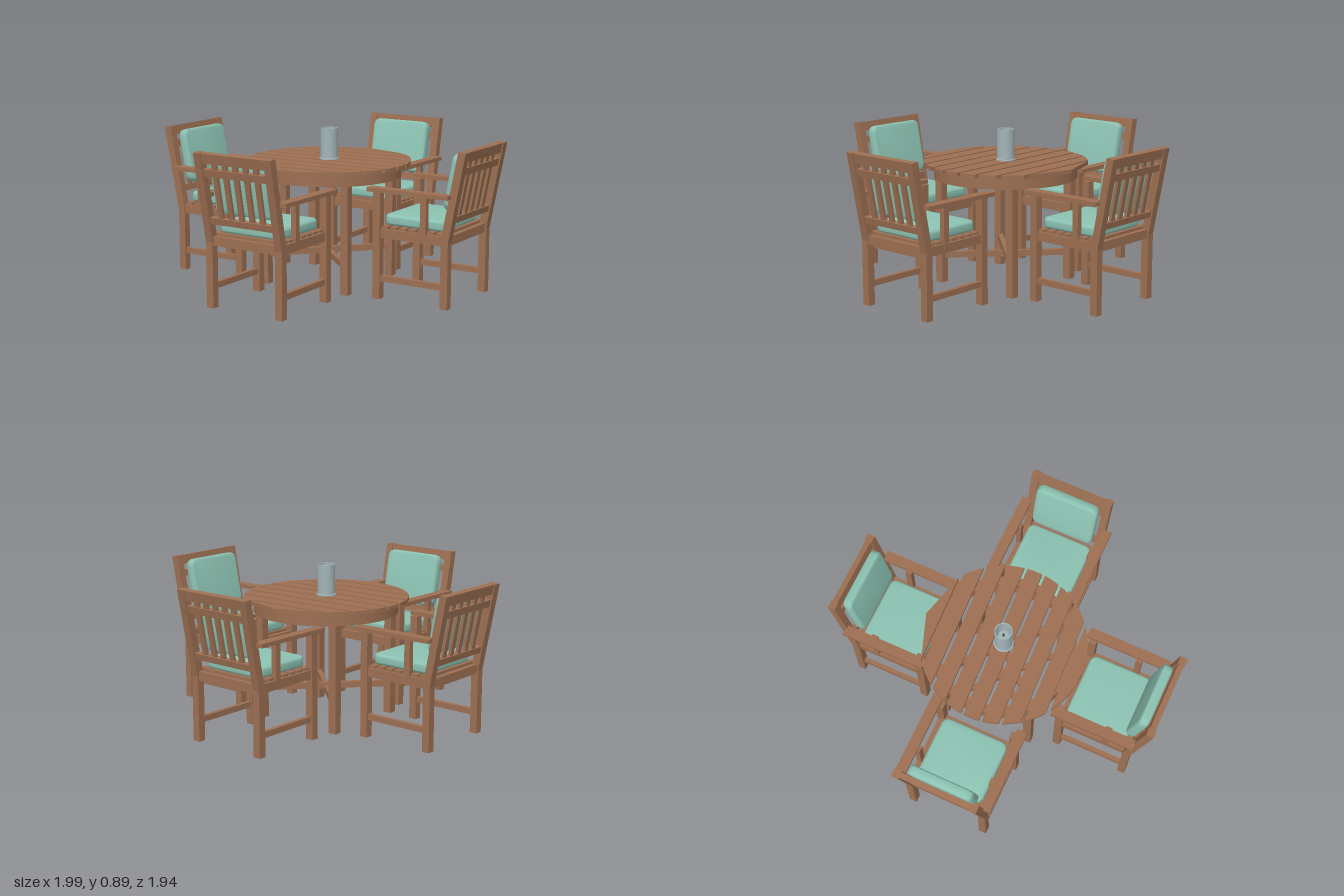
import * as THREE from 'three';
import { toCreasedNormals } from 'three/addons/utils/BufferGeometryUtils.js';

const material = (name, color, side = THREE.FrontSide) => {
  const m = new THREE.MeshStandardMaterial({ color, side });
  m.name = name;
  return m;
};

export function createModel() {
  const wood = material('brown wood', 0x9c6f52);
  const fabric = material('mint fabric', 0x8cc2b2);
  const glass = material('grey glass', 0xa3b5b8, THREE.DoubleSide);
  const dark = material('dark wick', 0x3a3634);

  const add = (parent, name, geometry, mat, x = 0, y = 0, z = 0) => {
    const mesh = new THREE.Mesh(geometry, mat);
    mesh.name = name;
    mesh.position.set(x, y, z);
    parent.add(mesh);
    return mesh;
  };
  const box = (parent, name, w, h, d, x, y, z) =>
    add(parent, name, new THREE.BoxGeometry(w, h, d), wood, x, y, z);
  const group = (parent, name) => {
    const g = new THREE.Group();
    g.name = name;
    parent.add(g);
    return g;
  };

  // Soft pad with rounded outline and rounded edges, lying in the XY plane
  const pillow = (w, h, t) => {
    const b = 0.016, r = 0.03, x = w / 2 - b, y = h / 2 - b;
    const s = new THREE.Shape();
    s.moveTo(-x + r, -y);
    s.lineTo(x - r, -y).quadraticCurveTo(x, -y, x, -y + r);
    s.lineTo(x, y - r).quadraticCurveTo(x, y, x - r, y);
    s.lineTo(-x + r, y).quadraticCurveTo(-x, y, -x, y - r);
    s.lineTo(-x, -y + r).quadraticCurveTo(-x, -y, -x + r, -y);
    const g = new THREE.ExtrudeGeometry(s, {
      depth: t - 2 * b, bevelEnabled: true, bevelSize: b, bevelThickness: b, bevelSegments: 4, curveSegments: 5,
    });
    g.translate(0, 0, -t / 2 + b);
    return toCreasedNormals(g, 0.7);
  };

  // Back leg: upright to the seat, then leaning backwards
  const backLegGeometry = () => {
    const s = new THREE.Shape([
      [-0.022, 0], [0.022, 0], [0.022, 0.375], [-0.073, 0.86], [-0.117, 0.855], [-0.022, 0.365],
    ].map(([z, y]) => new THREE.Vector2(z, y)));
    const g = new THREE.ExtrudeGeometry(s, { depth: 0.044, bevelEnabled: false });
    g.translate(0, 0, -0.022);
    g.rotateY(-Math.PI / 2);
    return g;
  };

  // Chair facing +z, origin under its middle
  const buildChair = () => {
    const chair = new THREE.Group();
    chair.name = 'chair';
    const front = 0.22, back = -0.2, side = 0.225;
    for (const s of [-1, 1]) {
      box(chair, 'frontLeg', 0.045, 0.605, 0.045, s * side, 0.3025, front);
      add(chair, 'backLeg', backLegGeometry(), wood, s * side, 0, back);
      box(chair, 'sideStretcher', 0.025, 0.033, 0.4, s * side, 0.117, 0.01);
      box(chair, 'sideRail', 0.028, 0.05, 0.4, s * side, 0.37, 0.01);
      box(chair, 'armPost', 0.03, 0.25, 0.036, s * side, 0.485, -0.065);
      box(chair, 'armRest', 0.06, 0.023, 0.495, s * 0.255, 0.616, 0.0125);
    }
    box(chair, 'frontRail', 0.41, 0.05, 0.028, 0, 0.37, front);
    box(chair, 'backRail', 0.41, 0.05, 0.028, 0, 0.37, back);

    // Seat slats and pad
    for (let i = 0; i < 7; i++)
      box(chair, 'seatSlat', 0.45, 0.016, 0.042, 0, 0.401, -0.16 + i * 0.057);
    add(chair, 'seatCushion', pillow(0.4, 0.375, 0.06), fabric, 0, 0.44, 0.015).rotation.x = -Math.PI / 2;

    // Leaning back rest
    const rest = group(chair, 'backRest');
    rest.position.set(0, 0.37, back);
    rest.rotation.x = -Math.atan2(0.095, 0.49);
    box(rest, 'topRail', 0.41, 0.055, 0.032, 0, 0.468, 0);
    box(rest, 'middleRail', 0.41, 0.04, 0.028, 0, 0.388, 0);
    box(rest, 'lowerRail', 0.41, 0.036, 0.028, 0, 0.118, 0);
    for (let i = -2; i <= 2; i++)
      box(rest, 'backSlat', 0.03, 0.34, 0.016, i * 0.067, 0.29, 0);
    add(rest, 'backCushion', pillow(0.38, 0.315, 0.058), fabric, 0, 0.305, 0.05);
    return chair;
  };

  const model = new THREE.Group();
  model.name = 'gardenDiningSet';

  // Four chairs, each turned slightly off square
  const chairs = group(model, 'chairs');
  for (let i = 0; i < 4; i++) {
    const a = i * Math.PI / 2, reach = i % 2 ? 0.67 : 0.645;
    const chair = buildChair();
    chair.position.set(-Math.sin(a) * reach, 0, -Math.cos(a) * reach);
    chair.rotation.y = a - 0.042;
    chairs.add(chair);
  }

  // Round table
  const table = group(model, 'table');
  table.position.set(-0.008, 0, -0.015);
  const R = 0.47, half = 0.045, pitch = 0.108;
  for (let i = -4; i <= 4; i++) {
    // Board cut to the circle: right end, then left end
    const z0 = i * pitch - half, z1 = Math.min(i * pitch + half, R), pts = [];
    const lo = Math.max(z0, -R), n = i === -4 ? 1 : 10;
    for (const s of [1, -1])
      for (let k = 0; k <= n; k++) {
        const t = s > 0 ? k / n : 1 - k / n;
        const a0 = Math.asin(lo / R), a1 = Math.asin(z1 / R), a = a0 + (a1 - a0) * t;
        pts.push(new THREE.Vector2(s * Math.max(R * Math.cos(a), 0.001), -R * Math.sin(a)));
      }
    const g = new THREE.ExtrudeGeometry(new THREE.Shape(pts), { depth: 0.021, bevelEnabled: false });
    g.rotateX(-Math.PI / 2);
    add(table, 'tableSlat', g, wood, 0, 0.688, 0);
  }

  // Ring apron under the boards
  const ring = new THREE.Shape().absarc(0, 0, 0.412, 0, Math.PI * 2);
  ring.holes.push(new THREE.Path().absarc(0, 0, 0.365, 0, Math.PI * 2, true));
  const apron = new THREE.ExtrudeGeometry(ring, { depth: 0.07, bevelEnabled: false, curveSegments: 32 });
  apron.rotateX(-Math.PI / 2);
  add(table, 'apron', toCreasedNormals(apron, 0.6), wood, 0, 0.618, 0);

  // Legs with crossing stretchers and top supports
  for (const sx of [-1, 1]) {
    for (const sz of [-1, 1])
      box(table, 'tableLeg', 0.048, 0.688, 0.048, sx * 0.262, 0.344, sz * 0.262);
    box(table, 'crossStretcher', 0.72, 0.035, 0.028, 0, 0.168 + sx * 0.008, 0).rotation.y = sx * Math.PI / 4;
    box(table, 'topSupport', 0.74, 0.045, 0.035, 0, 0.665, 0).rotation.y = sx * Math.PI / 4;
  }

  // Candle jar in the middle of the table
  const jar = group(table, 'candleJar');
  const profile = [[0, 0.709], [0.056, 0.709], [0.056, 0.716], [0.05, 0.718], [0.05, 0.888], [0.044, 0.888], [0.044, 0.722], [0, 0.722]];
  const lathe = new THREE.LatheGeometry(profile.map(([r, y]) => new THREE.Vector2(r, y)), 24);
  add(jar, 'jar', toCreasedNormals(lathe, 0.6), glass);
  add(jar, 'candle', new THREE.CylinderGeometry(0.03, 0.03, 0.1, 16), glass, 0, 0.771, 0);
  add(jar, 'wick', new THREE.CylinderGeometry(0.006, 0.006, 0.02, 8), dark, 0, 0.83, 0);

  return model;
}
